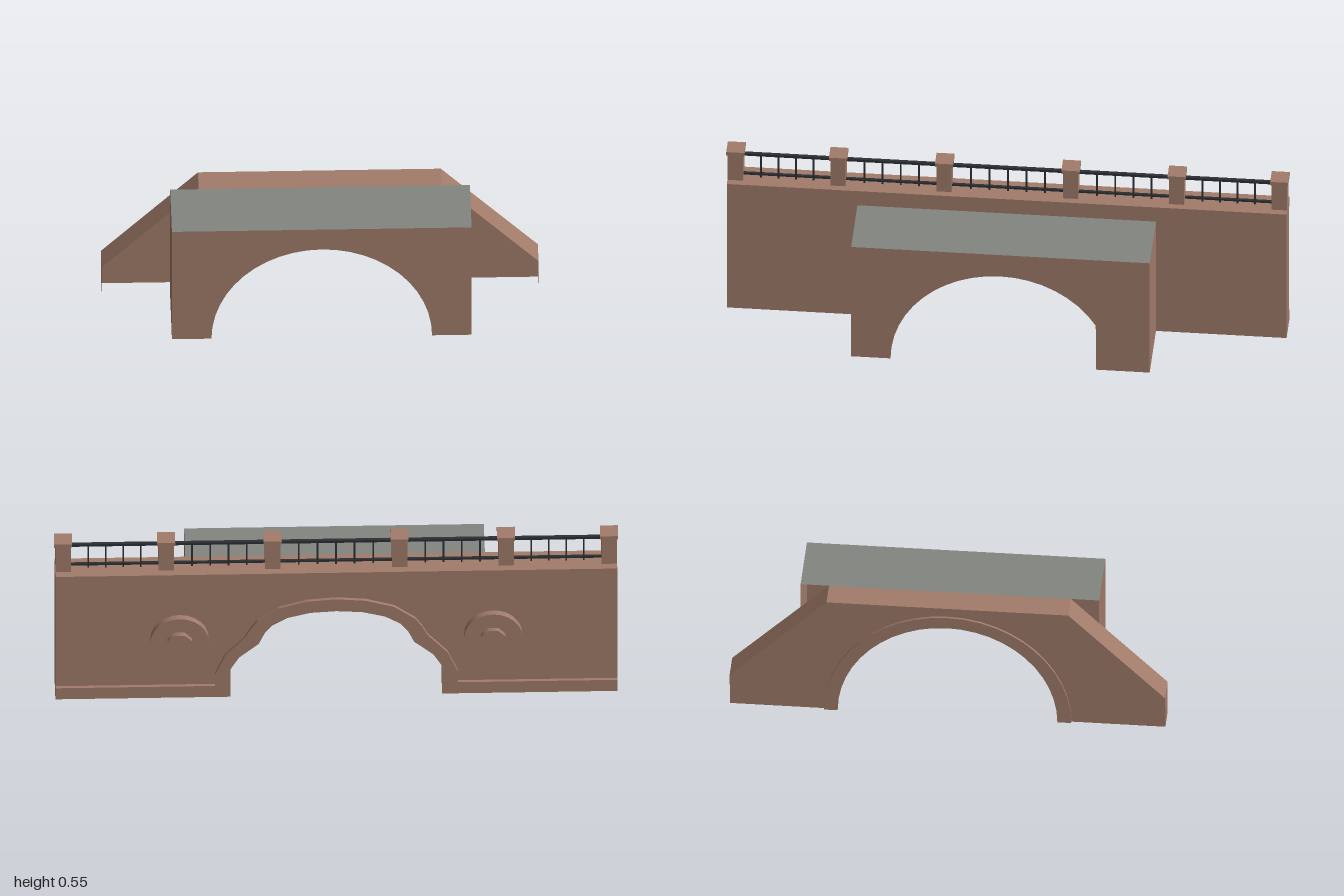
import * as THREE from 'three';

export function createModel() {
  const root = new THREE.Group();
  const mat = (name, color, side = THREE.FrontSide) => {
    const m = new THREE.MeshStandardMaterial({ color, side });
    m.name = name;
    return m;
  };
  const stone = mat('brownStone', 0xa17b6a, THREE.DoubleSide);
  const deck = mat('greyDeck', 0x838581, THREE.DoubleSide);
  const iron = mat('darkIron', 0x2b2f34);

  const add = (name, geo, material, x = 0, y = 0, z = 0, parent = root) => {
    const m = new THREE.Mesh(geo, material);
    m.name = name;
    m.position.set(x, y, z);
    parent.add(m);
    return m;
  };
  const box = (name, w, h, d, material, x, y, z, parent) =>
    add(name, new THREE.BoxGeometry(w, h, d), material, x, y, z, parent);
  const shapeOf = (pts) => new THREE.Shape(pts.map(([x, y]) => new THREE.Vector2(x, y)));
  // extrudes an outline from z0 to z1
  const slab = (name, pts, z0, z1, material) =>
    add(name, new THREE.ExtrudeGeometry(shapeOf(pts), { depth: z1 - z0, bevelEnabled: false }), material, 0, 0, z0);
  // half outline from right foot to crown, mirrored to run right foot -> left foot
  const mirror = (half) => [...half, ...half.slice(0, -1).reverse().map(([x, y]) => [-x, y])];
  const roundArch = (rx, ry, n = 24) => Array.from({ length: n + 1 }, (_, i) => {
    const a = (Math.PI * i) / n;
    return [rx * Math.cos(a), ry * Math.sin(a)];
  });
  const band = (outer, inner) => [...outer, ...inner.slice().reverse()];

  // ---- front portal wall with a cusped arch ----
  const inner = mirror([[0.305, 0], [0.305, 0.1], [0.28, 0.142], [0.224, 0.19], [0.207, 0.228],
    [0.185, 0.256], [0.14, 0.283], [0.075, 0.3], [0, 0.305]]);
  const outer = mirror([[0.35, 0], [0.35, 0.08], [0.32, 0.15], [0.263, 0.213], [0.247, 0.245],
    [0.228, 0.272], [0.167, 0.317], [0.085, 0.341], [0, 0.348]]);
  slab('frontWall', band([[0.81, 0], [0.81, 0.415], [-0.81, 0.415], [-0.81, 0]], inner), 0.89, 0.965, stone);
  slab('frontArchTrim', band(outer, inner), 0.965, 0.975, stone);
  box('frontCornice', 1.62, 0.035, 0.087, stone, 0, 0.4285, 0.9335);
  for (const s of [-1, 1]) {
    box('frontPlinth', 0.46, 0.04, 0.01, stone, s * 0.58, 0.02, 0.97);
    // round medallion with an octagonal boss
    const medallion = new THREE.Group();
    medallion.name = 'medallion';
    medallion.position.set(s * 0.452, 0.208, 0);
    medallion.rotation.x = 0;
    root.add(medallion);
    const disc = new THREE.CylinderGeometry(0.084, 0.084, 0.02, 24).rotateX(Math.PI / 2);
    const boss = new THREE.CylinderGeometry(0.038, 0.038, 0.035, 8).rotateY(Math.PI / 8).rotateX(Math.PI / 2);
    add('medallionDisc', disc, stone, 0, 0, 0.975, medallion);
    add('medallionBoss', boss, stone, 0, 0, 0.9825, medallion);
  }

  // ---- parapet posts and railing ----
  const posts = [-0.787, -0.49, -0.183, 0.183, 0.49, 0.787];
  const zr = 0.932;
  posts.forEach((x, i) => {
    box('post', 0.044, 0.092, 0.044, stone, x, 0.491, zr);
    box('postCap', 0.052, 0.012, 0.052, stone, x, 0.543, zr);
    if (i === posts.length - 1) return;
    const a = x + 0.022, b = posts[i + 1] - 0.022, mid = (a + b) / 2;
    box('topRail', b - a, 0.008, 0.01, iron, mid, 0.528, zr);
    box('bottomRail', b - a, 0.006, 0.008, iron, mid, 0.458, zr);
    const n = Math.round((b - a) / 0.051);
    for (let k = 1; k < n; k++)
      box('baluster', 0.005, 0.084, 0.005, iron, a + ((b - a) * k) / n, 0.487, zr);
  });

  // ---- hollow tunnel stubs behind each portal ----
  const tunnel = (name, zFace, zWall, h, arch) => {
    const mid = (zFace + zWall) / 2, d = Math.abs(zFace - zWall);
    const face = new THREE.ShapeGeometry(shapeOf(band([[0.432, 0], [0.432, h], [-0.432, h], [-0.432, 0]], arch)));
    if (zFace > 0) face.rotateY(Math.PI); // make the face look away from its portal
    add(name + 'Face', face, stone, 0, 0, zFace);
    for (const s of [-1, 1]) {
      const side = new THREE.PlaneGeometry(d, h).rotateY((s * Math.PI) / 2);
      add(name + 'Side', side, stone, s * 0.432, h / 2, mid);
    }
    add(name + 'Deck', new THREE.PlaneGeometry(0.864, d).rotateX(-Math.PI / 2), deck, 0, h, mid);
  };
  // outline is turned about y, so +x here becomes the model's -x
  const frontArch = roundArch(0.318, 0.318).map(([x, y]) => [Math.min(x, 0.277), y]);
  tunnel('frontTunnel', 0.69, 0.89, 0.395, frontArch);
  tunnel('rearTunnel', -0.72, -0.92, 0.39, roundArch(0.318, 0.318));

  // ---- rear portal: thin face, arch ring and sloping coping ----
  const edge = [[0.63, 0.11], [0.35, 0.39], [-0.35, 0.39], [-0.63, 0.11]];
  const under = [[0.63, 0.073], [0.34, 0.362], [-0.34, 0.362], [-0.63, 0.073]];
  const ring = roundArch(0.318, 0.318);
  const face = new THREE.ShapeGeometry(shapeOf(band([[0.63, 0], ...edge, [-0.63, 0]], ring))).rotateY(Math.PI);
  add('rearWall', face, stone, 0, 0, -0.99);
  slab('rearArchRing', band(roundArch(0.358, 0.355), ring), -0.997, -0.985, stone);
  slab('rearCoping', band(edge, under), -1, -0.92, stone);
  for (const s of [-1, 1]) {
    const end = new THREE.PlaneGeometry(0.07, 0.08).rotateY((s * Math.PI) / 2);
    add('rearWingEnd', end, stone, s * 0.63, 0.04, -0.955);
  }
  return root;
}
